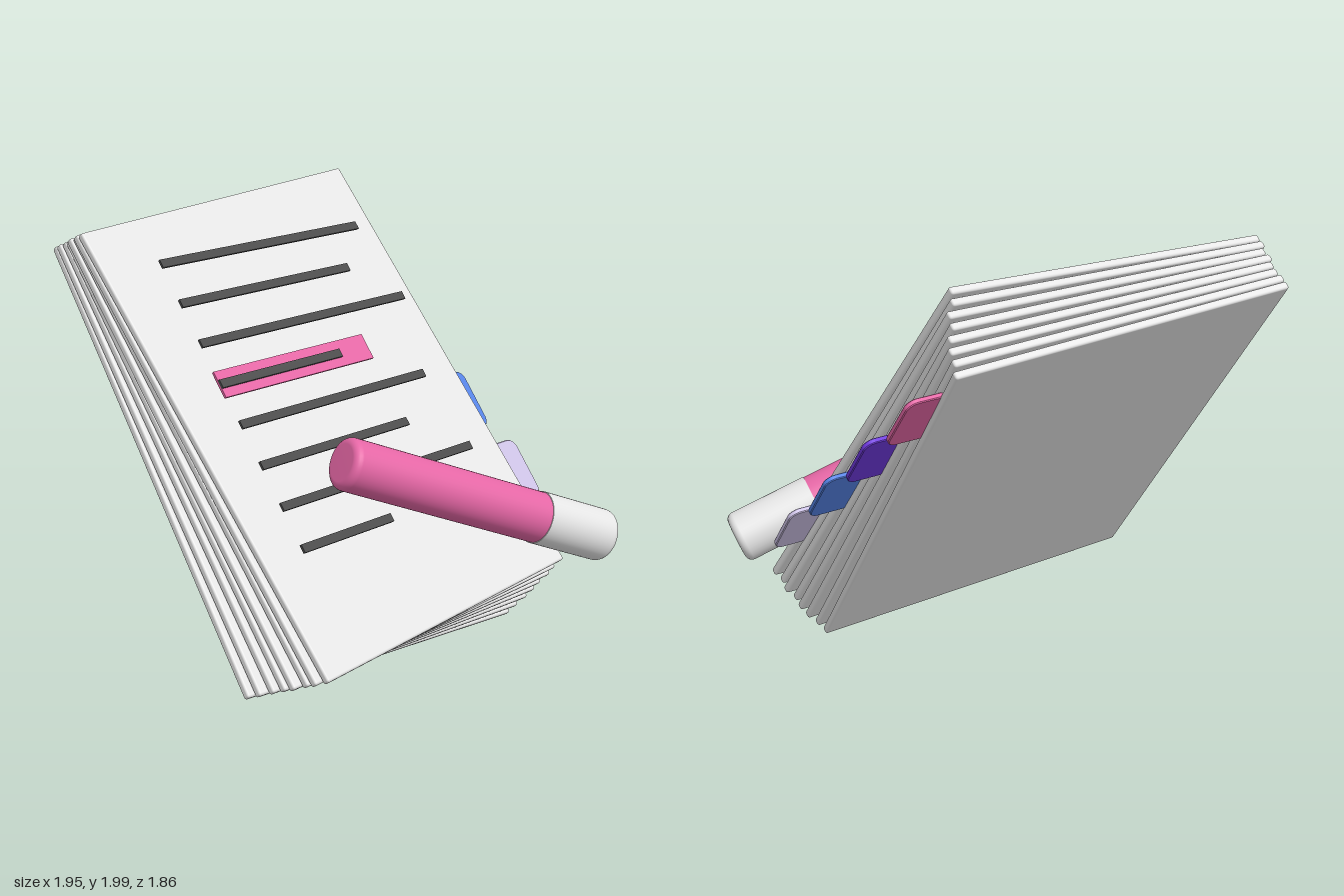
import * as THREE from 'three';
import { RoundedBoxGeometry } from 'three/addons/geometries/RoundedBoxGeometry.js';

const material = (name, color) => {
  const m = new THREE.MeshStandardMaterial({ color });
  m.name = name;
  return m;
};

export function createModel() {
  const white = material('paper white', 0xe6e6e6);
  const dark = material('ink grey', 0x4a4a4a);
  const pink = material('pink', 0xe667a6);
  const purple = material('purple', 0x7039e0);
  const blue = material('blue', 0x5583e6);
  const lavender = material('lavender', 0xcdc2e6);

  const model = new THREE.Group();
  model.name = 'documentStack';

  // Everything lies in a leaning frame: z = 0 is the face of the first page
  const stack = new THREE.Group();
  stack.name = 'leaningStack';
  stack.position.set(0, 1.11, 0.047);
  stack.rotation.x = -0.66;
  model.add(stack);

  const add = (name, geometry, mat, x, y, z, parent = stack) => {
    const mesh = new THREE.Mesh(geometry, mat);
    mesh.name = name;
    mesh.position.set(x, y, z);
    parent.add(mesh);
    return mesh;
  };

  // Eight pages fanned from +3.5 to -3.5 degrees
  const pitch = 0.045, thickness = 0.036;
  const pageGeometry = new RoundedBoxGeometry(1.66, 2.165, thickness, 2, 0.011);
  [-0.062, -0.07, -0.055, -0.07, -0.06, -0.064, -0.08, -0.086].forEach((x, i) => {
    const page = add('page' + (i + 1), pageGeometry, white, x, 0, -thickness / 2 - i * pitch);
    page.rotation.z = THREE.MathUtils.degToRad(3.5 - i);
  });

  // Text lines, left aligned, hovering over the first page
  const left = -0.675;
  [0.558, 0.373, 0.622, 0.066, 0.5, 0.251, 0.558, -0.119].forEach((right, i) => {
    add('textLine' + (i + 1), new THREE.BoxGeometry(right - left, 0.039, 0.012), dark,
      (left + right) / 2, 0.797 - i * 0.197, 0.052);
  });

  // Marked strip behind the fourth line
  add('highlightStrip', new THREE.BoxGeometry(0.926, 0.125, 0.012), pink, left + 0.463, 0.207, 0.041);

  // Index tabs: rounded plates between every second pair of pages
  const w = 0.15, h = 0.148, r = 0.045;
  const tabShape = new THREE.Shape();
  tabShape.moveTo(-w, -h);
  tabShape.lineTo(w - r, -h);
  tabShape.absarc(w - r, -h + r, r, -Math.PI / 2, 0, false);
  tabShape.absarc(w - r, h - r, r, 0, Math.PI / 2, false);
  tabShape.lineTo(-w, h);
  tabShape.closePath();
  const tabGeometry = new THREE.ExtrudeGeometry(tabShape, {
    depth: 0.016, bevelThickness: 0.004, bevelSize: 0.004, bevelSegments: 1, curveSegments: 8,
  });
  tabGeometry.translate(0, 0, -0.008);
  [lavender, blue, purple, pink].forEach((mat, i) => {
    add('indexTab' + (i + 1), tabGeometry, mat, 0.79, -0.551 + i * 0.419, -0.0405 - i * 2 * pitch);
  });

  // Marker pen: two lathed parts with rounded ends
  const pen = new THREE.Group();
  pen.name = 'marker';
  pen.position.set(0.273, -0.668, 0.195);
  pen.rotation.z = THREE.MathUtils.degToRad(-118.5);
  stack.add(pen);

  // Closed cylinder along y from y0 to y1, rounded at the end marked by sign
  const roundedRod = (radius, y0, y1, sign) => {
    const e = 0.035, end = sign > 0 ? y1 : y0, flat = sign > 0 ? y0 : y1;
    const points = [new THREE.Vector2(0, flat), new THREE.Vector2(radius, flat),
      new THREE.Vector2(radius, flat)];
    for (let i = 0; i <= 6; i++) {
      const a = (i / 6) * Math.PI / 2;
      points.push(new THREE.Vector2(radius - e + e * Math.cos(a), end - sign * e * (1 - Math.sin(a))));
    }
    points.push(new THREE.Vector2(0, end));
    points.splice(0, 2);
    if (sign < 0) points.reverse();
    return new THREE.LatheGeometry(points, 40);
  };
  const joint = 0.338;
  add('markerBody', roundedRod(0.118, -0.745, joint, -1), pink, 0, 0, 0, pen);
  add('markerCap', roundedRod(0.122, joint, 0.745, 1), white, 0, 0, 0, pen);

  // Flat ring closing the step under the cap
  const rim = add('markerCapRim', new THREE.RingGeometry(0.1, 0.122, 40), white, 0, joint, 0, pen);
  rim.rotation.x = Math.PI / 2;

  return model;
}
